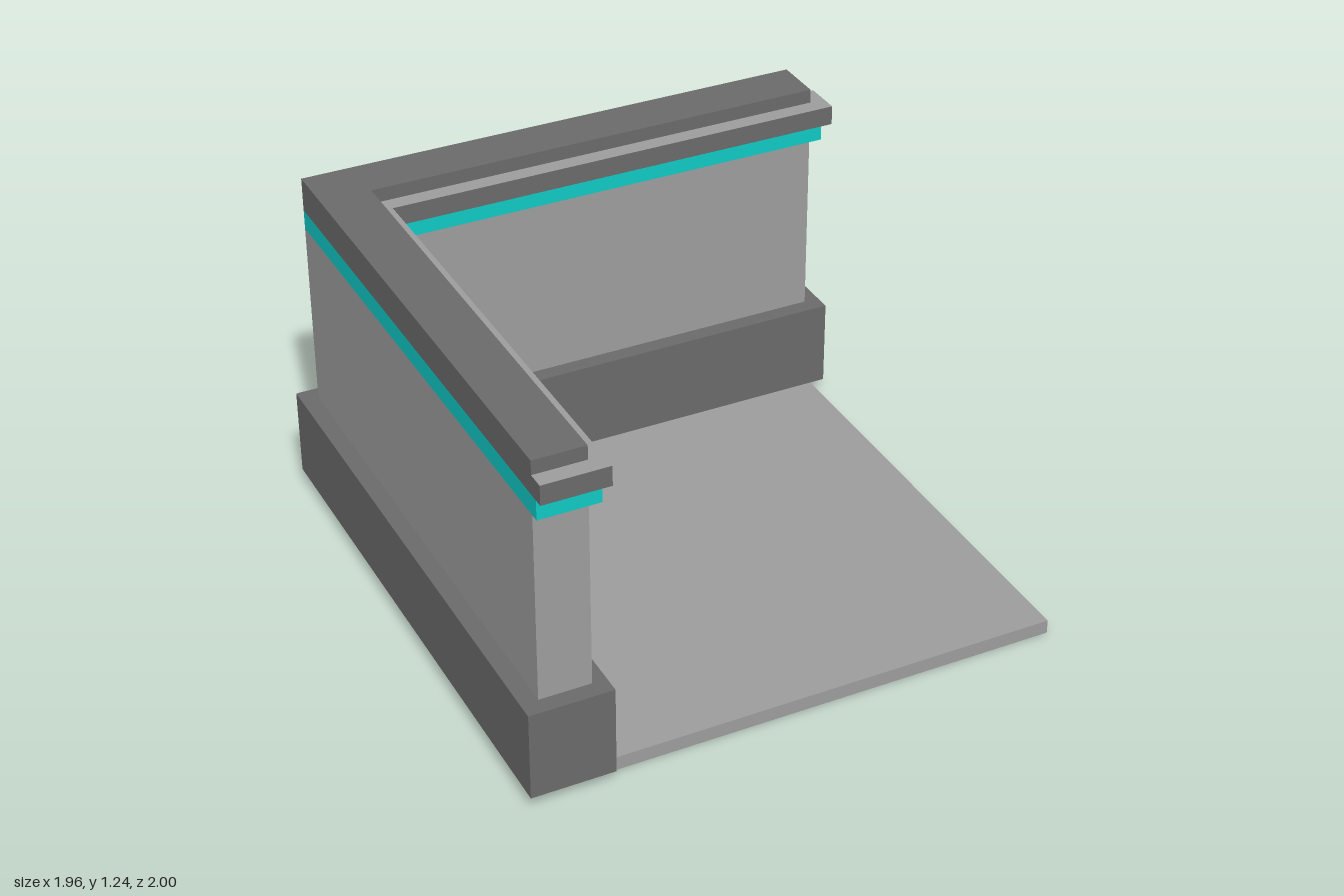
import * as THREE from 'three';

export function createModel() {
  const root = new THREE.Group();
  root.name = 'roomCorner';
  const mat = (name, color) => {
    const m = new THREE.MeshStandardMaterial({ color });
    m.name = name;
    return m;
  };
  const light = mat('lightGrey', 0x9d9d9d);
  const dark = mat('darkGrey', 0x6a6a6a);
  const cyan = mat('cyan', 0x10c9c4);
  // Face order: +x, -x, +y, -y, +z, -z
  const lightTop = [dark, dark, light, dark, dark, dark];
  const lightSides = [dark, dark, light, light, light, light];

  // Box given by its extents on each axis
  function box(name, material, [x0, x1], [y0, y1], [z0, z1]) {
    const geo = new THREE.BoxGeometry(x1 - x0, y1 - y0, z1 - z0);
    const mesh = new THREE.Mesh(geo, material);
    mesh.position.set((x0 + x1) / 2, (y0 + y1) / 2, (z0 + z1) / 2);
    mesh.name = name;
    root.add(mesh);
  }
  // Rectangle in plan, y of the shape being -z
  const rect = (path, x0, x1, z0, z1) => path
    .moveTo(x0, -z1).lineTo(x1, -z1).lineTo(x1, -z0).lineTo(x0, -z0).closePath();

  // Floor slab with a socket under the side wall
  const plan = new THREE.Shape();
  rect(plan, -0.92, 0.92, -0.94, 0.94);
  const socket = new THREE.Path();
  rect(socket, -0.91, -0.74, -0.75, -0.57);
  plan.holes.push(socket);
  const floorGeo = new THREE.ExtrudeGeometry(plan, { depth: 0.05, bevelEnabled: false });
  floorGeo.rotateX(-Math.PI / 2);
  const floor = new THREE.Mesh(floorGeo, light);
  floor.name = 'floor';
  root.add(floor);
  box('floorPatch', dark, [-0.76, -0.58], [-0.001, 0.004], [0.77, 0.935]);

  // Base blocks, with a gap on the inner face for the doorway
  const baseY = [0.05, 0.37];
  box('sideBase', dark, [-0.98, -0.74], baseY, [-1, 1]);
  box('sideBaseFront', dark, [-0.74, -0.69], baseY, [0.57, 1]);
  box('sideBaseRear', dark, [-0.74, -0.69], baseY, [-0.7, 0]);
  box('backBase', dark, [-0.74, 0.975], baseY, [-1, -0.7]);

  // Wall panels
  const wallY = [0.37, 1.05];
  box('sideWall', light, [-0.92, -0.74], wallY, [-0.94, 0.94]);
  box('backWall', light, [-0.74, 0.92], wallY, [-0.94, -0.76]);

  // Cyan strip under the cornice
  const stripY = [1.05, 1.12];
  box('sideStrip', cyan, [-0.92, -0.71], stripY, [-0.94, 0.97]);
  box('backStrip', cyan, [-0.71, 0.92], stripY, [-0.94, -0.73]);
  box('backStripEnd', cyan, [0.92, 0.95], stripY, [-0.84, -0.73]);

  // Cornice with a light ledge
  const corniceY = [1.12, 1.19];
  box('sideCornice', lightTop, [-0.92, -0.69], corniceY, [-0.94, 1]);
  box('backCornice', lightTop, [-0.69, 0.92], corniceY, [-0.94, -0.7]);
  box('backCorniceEnd', lightTop, [0.92, 0.975], corniceY, [-0.84, -0.7]);

  // Top capping
  const capY = [1.19, 1.24];
  box('sideCap', dark, [-0.92, -0.74], capY, [-0.94, 0.94]);
  box('backCap', dark, [-0.74, 0.92], capY, [-0.94, -0.76]);

  // Door surround: two pillars and a lintel
  const frameX = [-0.74, -0.69];
  box('doorPillarFront', lightSides, frameX, [0.37, 1.12], [0.57, 0.75]);
  box('doorPillarRear', lightSides, frameX, [0.37, 1.12], [-0.19, 0]);
  box('doorLintel', dark, frameX, [1.05, 1.12], [0, 0.57]);

  // Cyan door trim and the recessed door panel
  box('doorTrimFront', cyan, frameX, [0.05, 1.05], [0.54, 0.57]);
  box('doorTrimRear', cyan, frameX, [0.05, 1.05], [0, 0.03]);
  box('doorTrimTop', cyan, frameX, [1.02, 1.05], [0.03, 0.54]);
  box('doorPanel', light, [-0.74, -0.735], [0.05, 1.02], [0.03, 0.54]);

  return root;
}
